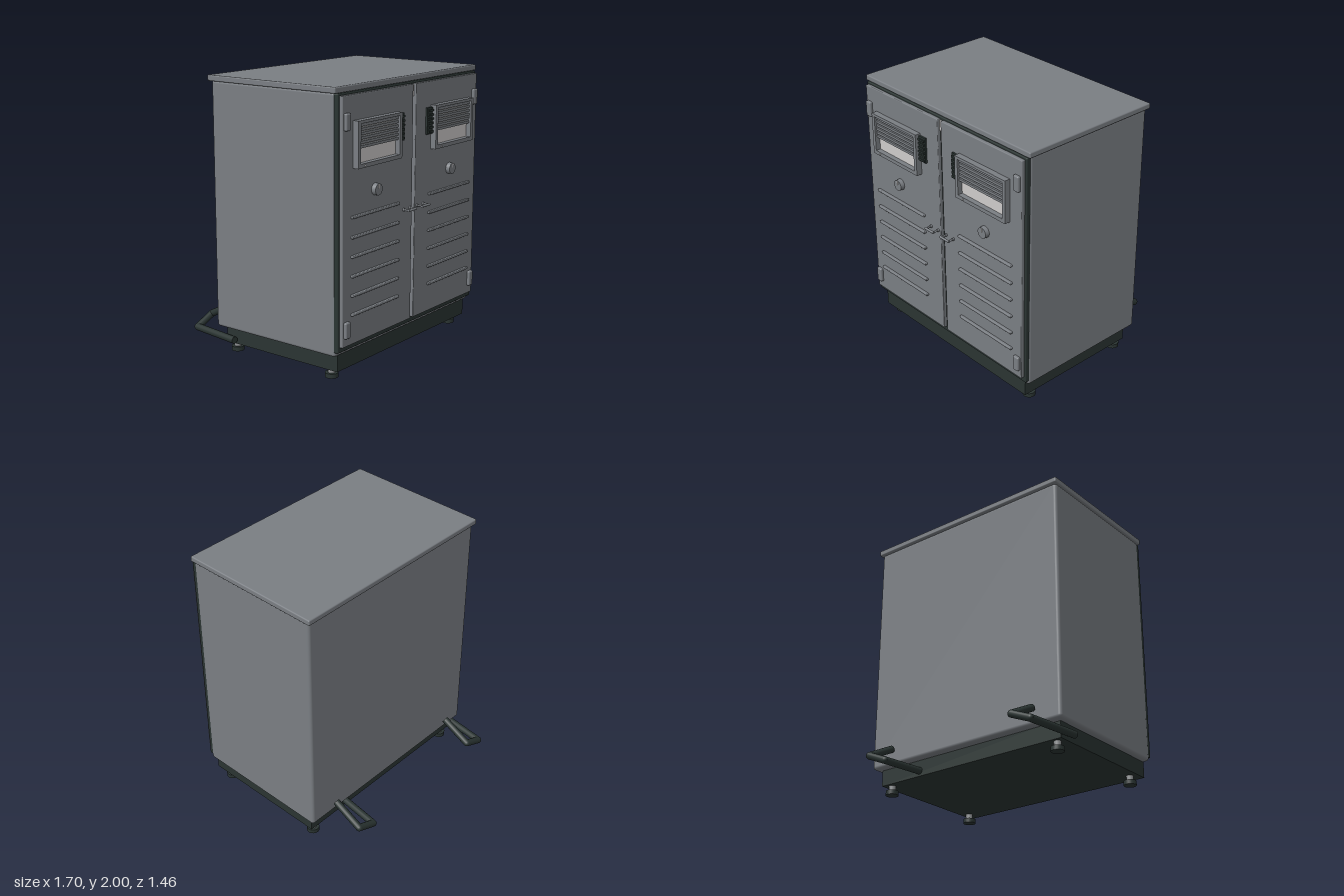
import * as THREE from 'three';
import { RoundedBoxGeometry } from 'three/addons/geometries/RoundedBoxGeometry.js';

const mat = (name, color) => {
  const m = new THREE.MeshStandardMaterial({ color });
  m.name = name;
  return m;
};

export function createModel() {
  const grey = mat('cabinet grey', 0x7a7e83);
  const dark = mat('dark frame', 0x2a3432);
  const light = mat('light panel', 0xcfcccb);
  const metal = mat('brushed metal', 0x8d9092);

  const root = new THREE.Group();
  root.name = 'cabinet';

  const add = (parent, name, geo, m, x = 0, y = 0, z = 0) => {
    const mesh = new THREE.Mesh(geo, m);
    mesh.name = name;
    mesh.position.set(x, y, z);
    parent.add(mesh);
    return mesh;
  };
  // Box from its limits; a radius above zero rounds the edges
  const box = (parent, name, m, [x0, x1], [y0, y1], [z0, z1], r = 0) => {
    const s = [Math.abs(x1 - x0), y1 - y0, z1 - z0];
    const geo = r ? new RoundedBoxGeometry(...s, 3, r) : new THREE.BoxGeometry(...s);
    return add(parent, name, geo, m, (x0 + x1) / 2, (y0 + y1) / 2, (z0 + z1) / 2);
  };
  // Round bar between two points
  const rod = (parent, name, m, a, b, r) => {
    const p = new THREE.Vector3(...a), q = new THREE.Vector3(...b);
    const d = q.clone().sub(p);
    const mesh = add(parent, name, new THREE.CylinderGeometry(r, r, d.length(), 16), m);
    mesh.position.copy(p).add(q).multiplyScalar(0.5);
    mesh.quaternion.setFromUnitVectors(new THREE.Vector3(0, 1, 0), d.normalize());
  };

  // Cabinet shell, lid and plinth
  box(root, 'body', grey, [-0.835, 0.835], [0.187, 1.965], [-0.455, 0.622], 0.022);
  box(root, 'lid', grey, [-0.85, 0.85], [1.958, 2], [-0.477, 0.638], 0.009);
  box(root, 'doorFrame', dark, [-0.83, 0.83], [0.217, 1.957], [0.6, 0.645], 0.008);
  box(root, 'plinth', dark, [-0.79, 0.79], [0.07, 0.2], [-0.395, 0.61]);
  box(root, 'latch', light, [-0.014, 0.014], [1.855, 1.935], [0.64, 0.652]);

  // Levelling feet
  for (const x of [-0.73, 0.73]) for (const z of [-0.35, 0.515]) {
    const foot = new THREE.Group();
    foot.name = 'foot';
    foot.position.set(x, 0, z);
    root.add(foot);
    add(foot, 'footPad', new THREE.CylinderGeometry(0.046, 0.046, 0.032, 24), dark, 0, 0.016, 0);
    add(foot, 'footStem', new THREE.CylinderGeometry(0.025, 0.025, 0.05, 20), metal, 0, 0.05, 0);
  }

  // Doors, mirrored about the centre
  for (const s of [-1, 1]) {
    const door = new THREE.Group();
    door.name = s > 0 ? 'leftDoor' : 'rightDoor';
    root.add(door);
    const X = (a, b) => [s * a, s * b];

    box(door, 'doorPanel', grey, X(0.016, 0.812), [0.257, 1.942], [0.638, 0.67], 0.006);
    for (const y of [0.375, 1.773])
      box(door, 'hinge', grey, X(0.746, 0.798), [y - 0.057, y + 0.057], [0.66, 0.692], 0.01);

    // Display window frame
    const frame = new THREE.Shape();
    frame.moveTo(-0.247, -0.157).lineTo(0.247, -0.157).lineTo(0.247, 0.157).lineTo(-0.247, 0.157).closePath();
    const hole = new THREE.Path();
    hole.moveTo(-0.219, -0.129).lineTo(-0.219, 0.137).lineTo(0.219, 0.137).lineTo(0.219, -0.129).closePath();
    frame.holes.push(hole);
    add(door, 'windowFrame', new THREE.ExtrudeGeometry(frame, { depth: 0.045, bevelEnabled: false }),
      grey, s * 0.453, 1.617, 0.669);
    box(door, 'windowPanel', light, X(0.234, 0.672), [1.488, 1.754], [0.669, 0.676]);
    for (let i = 0; i < 6; i++) {
      const y = 1.598 + i * 0.0285;
      box(door, 'windowSlat', grey, X(0.234, 0.672), [y - 0.009, y + 0.009], [0.676, 0.7]);
    }
    add(door, 'frameScrew', new THREE.SphereGeometry(0.006, 10, 8), light, s > 0 ? 0.285 : -0.627, 1.472, 0.714);

    // Side vent next to the window
    box(door, 'sideVent', dark, X(0.14, 0.21), [1.57, 1.76], [0.66, 0.684]);
    for (let i = 0; i < 6; i++) {
      const y = 1.588 + i * 0.03;
      box(door, 'ventSlat', dark, X(0.146, 0.206), [y - 0.007, y + 0.007], [0.68, 0.694]);
    }

    // Turning lock with pointer
    const knob = add(door, 'knob', new THREE.CylinderGeometry(0.04, 0.042, 0.034, 32), grey, s * 0.455, 1.283, 0.685);
    knob.rotation.x = Math.PI / 2;
    box(door, 'knobPointer', light, [s * 0.455 - 0.004, s * 0.455 + 0.004], [1.29, 1.32], [0.7, 0.705]);

    // Pressed ribs
    for (const y of [0.468, 0.6, 0.734, 0.868, 1.0, 1.136])
      box(door, 'rib', grey, X(0.185, 0.723), [y - 0.009, y + 0.009], [0.66, 0.69], 0.006);

    // Pull handle
    const pull = new THREE.Group();
    pull.name = 'pullHandle';
    door.add(pull);
    rod(pull, 'pullBar', grey, [s * 0.036, 1.078, 0.72], [s * 0.13, 1.078, 0.72], 0.009);
    for (const x of [0.044, 0.122]) {
      rod(pull, 'pullPost', grey, [s * x, 1.078, 0.66], [s * x, 1.078, 0.72], 0.007);
      rod(pull, 'pullCollar', grey, [s * x, 1.078, 0.668], [s * x, 1.078, 0.682], 0.011);
    }
  }

  // Bent tubes at the back
  const r = 0.026;
  const bends = [[-0.829, 0.11, -0.29], [-0.778, 0.11, -0.706], [-0.628, 0.175, -0.706], [-0.625, 0.289, -0.485]];
  for (const dx of [0, 1.247]) {
    const tube = new THREE.Group();
    tube.name = 'rearTube';
    tube.position.x = dx;
    root.add(tube);
    for (let i = 0; i < 3; i++) rod(tube, 'tubeSection', dark, bends[i], bends[i + 1], r);
    for (const p of bends.slice(1, 3)) add(tube, 'tubeBend', new THREE.SphereGeometry(r, 16, 12), dark, ...p);
  }

  return root;
}
